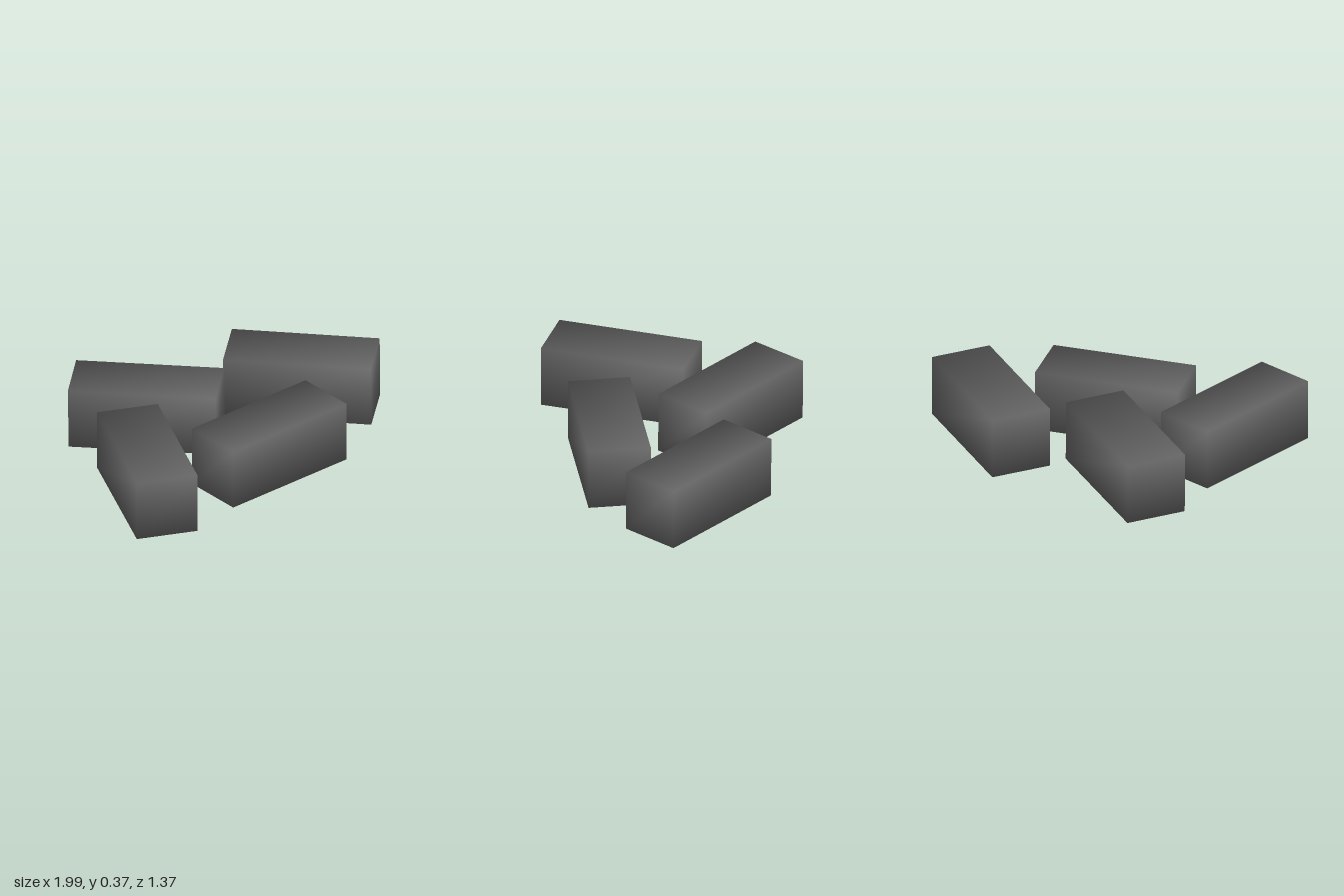
import * as THREE from 'three';

const LENGTH = 0.795, HEIGHT = 0.34, DEPTH = 0.335;

// Block whose normals point out through its corners, so edges shade softly
function blockGeometry() {
  const geo = new THREE.BoxGeometry(LENGTH, HEIGHT, DEPTH);
  const { position, normal } = geo.attributes;
  const n = new THREE.Vector3();
  for (let i = 0; i < position.count; i++) {
    n.set(Math.sign(position.getX(i)), Math.sign(position.getY(i)), Math.sign(position.getZ(i))).normalize();
    normal.setXYZ(i, n.x, n.y, n.z);
  }
  return geo;
}

export function createModel() {
  const model = new THREE.Group();
  model.name = 'scatteredBlocks';
  const darkGrey = new THREE.MeshStandardMaterial({ color: 0x666666 });
  darkGrey.name = 'darkGrey';
  const geo = blockGeometry();

  // Each block: name, centre, turn about the vertical, slight lengthwise tilt
  const blocks = [
    ['frontBlock', [0.035, 0.17, 0.415], 0, 0],
    ['rightBlock', [-0.68, 0.195, 0.25], 1.13, 0],
    ['backBlock', [-0.235, 0.196, -0.275], -0.843, 0.015],
    ['leftBlock', [0.605, 0.196, 0.015], -0.852, 0.008],
  ];
  for (const [name, centre, turn, tilt] of blocks) {
    const block = new THREE.Mesh(geo, darkGrey);
    block.name = name;
    block.position.set(...centre);
    block.rotation.set(0, turn, tilt);
    model.add(block);
  }
  return model;
}
